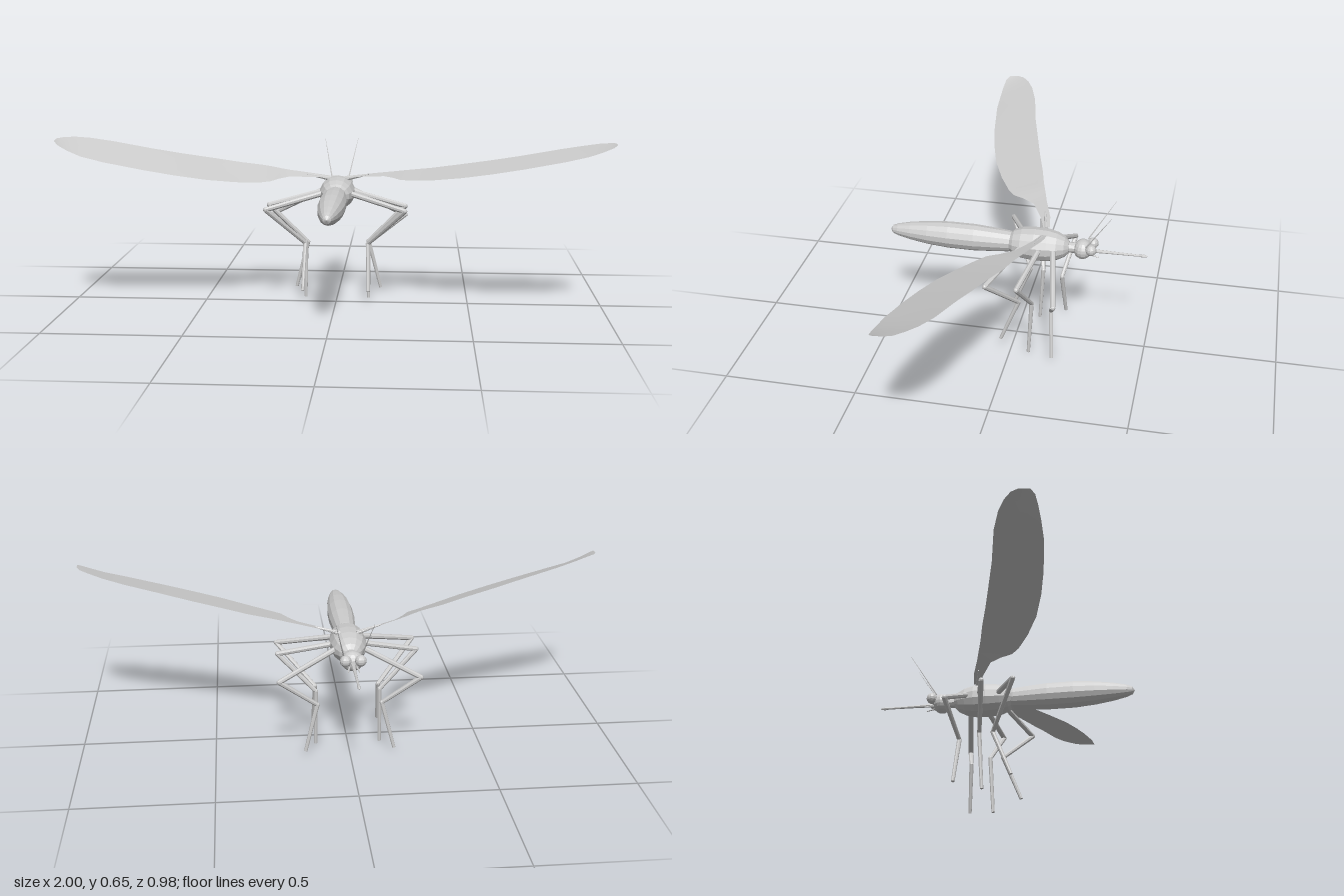
import * as THREE from 'three';

const grey = new THREE.MeshStandardMaterial({ color: 0xcccccc, flatShading: true });
const wingGrey = new THREE.MeshStandardMaterial({ color: 0xcccccc, side: THREE.DoubleSide });
const AXIS_Y = 0.411;

function add(parent, name, geometry, material = grey) {
  const mesh = new THREE.Mesh(geometry, material);
  mesh.name = name;
  parent.add(mesh);
  return mesh;
}

// Turned body part lying along z; profile is [z, radius] from front to back
function turned(parent, name, profile, sides, widen = 1, y = AXIS_Y) {
  const g = new THREE.LatheGeometry(profile.map(([z, r]) => new THREE.Vector2(r, z)), sides);
  g.rotateX(Math.PI / 2).scale(widen, 1, 1);
  add(parent, name, g).position.y = y;
}

// Tapered rod between two points
function rod(parent, name, a, b, ra, rb, sides = 8) {
  const from = new THREE.Vector3(...a), to = new THREE.Vector3(...b);
  const dir = to.clone().sub(from);
  const mesh = add(parent, name, new THREE.CylinderGeometry(rb, ra, dir.length(), sides));
  mesh.position.copy(from).add(to).multiplyScalar(0.5);
  mesh.quaternion.setFromUnitVectors(new THREE.Vector3(0, 1, 0), dir.normalize());
}

// Wing stations from root to tip: x, leading z, trailing z, mean height, half twist
const stations = [
  [0.03, -0.12, -0.095, 0.467, 0.001],
  [0.09, -0.11, -0.075, 0.475, 0.002],
  [0.18, -0.08, -0.03, 0.487, 0.004],
  [0.215, -0.07, 0.015, 0.49, 0.006],
  [0.24, -0.062, 0.06, 0.492, 0.008],
  [0.28, -0.05, 0.09, 0.496, 0.01],
  [0.36, -0.03, 0.135, 0.506, 0.011],
  [0.46, 0.0, 0.18, 0.523, 0.012],
  [0.57, 0.03, 0.212, 0.543, 0.012],
  [0.68, 0.06, 0.235, 0.565, 0.012],
  [0.82, 0.09, 0.255, 0.595, 0.012],
  [0.9, 0.118, 0.257, 0.613, 0.011],
  [0.95, 0.145, 0.255, 0.627, 0.008],
  [0.985, 0.172, 0.25, 0.637, 0.004],
  [1.0, 0.2, 0.237, 0.643, 0.001],
];

function wing(side) {
  const pos = [], index = [], across = 4;
  const twist = side > 0 ? 1 : 2.3;
  stations.forEach(([x, lead, trail, y, t], i) => {
    for (let j = 0; j <= across; j++) {
      const f = j / across;
      pos.push(side * x, y + t * twist * (1 - 2 * f), lead + (trail - lead) * f);
      if (i && j) {
        const d = i * (across + 1) + j, c = d - 1, b = d - across - 1, a = b - 1;
        index.push(...(side > 0 ? [a, b, c, b, d, c] : [a, c, b, b, c, d]));
      }
    }
  });
  const g = new THREE.BufferGeometry();
  g.setAttribute('position', new THREE.Float32BufferAttribute(pos, 3));
  g.setIndex(index);
  g.computeVertexNormals();
  return g;
}

// Leg joints from hip to foot
const legs = {
  frontLeg: [[0.045, 0.418, -0.145], [0.26, 0.308, -0.185], [0.12, 0.2, -0.155], [0.166, 0.018, -0.167]],
  middleLeg: [[0.045, 0.418, -0.095], [0.26, 0.366, -0.05], [0.12, 0.222, -0.081], [0.122, 0.001, -0.07]],
  hindLeg: [[0.045, 0.418, -0.025], [0.26, 0.366, 0.065], [0.12, 0.222, -0.031], [0.125, 0.05, 0.037]],
};

export function createModel() {
  const model = new THREE.Group();
  model.name = 'insect';

  // Body
  turned(model, 'abdomen', [[-0.02, 0], [-0.01, 0.03], [0.03, 0.04], [0.09, 0.045], [0.16, 0.05], [0.26, 0.05],
    [0.34, 0.044], [0.41, 0.034], [0.46, 0.023], [0.48, 0.015], [0.489, 0]], 14);
  turned(model, 'thorax', [[-0.202, 0], [-0.198, 0.022], [-0.183, 0.038], [-0.155, 0.052], [-0.12, 0.06],
    [-0.07, 0.062], [-0.02, 0.057], [0.01, 0.046], [0.027, 0.032], [0.035, 0]], 14, 1.1);
  turned(model, 'neck', [[-0.23, 0.02], [-0.19, 0.02]], 10);

  // Head
  const head = new THREE.Group();
  head.name = 'head';
  model.add(head);
  add(head, 'skull', new THREE.SphereGeometry(0.037, 14, 10).scale(1.12, 1, 0.95)).position.set(0, 0.41, -0.25);
  turned(head, 'proboscis', [[-0.491, 0], [-0.488, 0.004], [-0.475, 0.006], [-0.46, 0.004], [-0.36, 0.0055], [-0.27, 0.008]], 8, 1, 0.406);

  for (const side of [1, -1]) {
    add(head, 'eye', new THREE.SphereGeometry(0.021, 12, 8)).position.set(side * 0.027, 0.423, -0.284);
    rod(head, 'antenna', [side * 0.032, 0.435, -0.265], [side * 0.067, 0.588, -0.361], 0.003, 0.0006, 5);
    rod(head, 'palp', [side * 0.012, 0.398, -0.27], [side * 0.02, 0.392, -0.314], 0.004, 0.002, 6);
    add(model, side > 0 ? 'leftWing' : 'rightWing', wing(side), wingGrey);
    // Stem joining the wing to the thorax
    rod(model, 'wingStem', [side * 0.03, 0.46, -0.105], [side * 0.12, 0.481, -0.085], 0.009, 0.003);

    for (const [name, joints] of Object.entries(legs)) {
      const leg = new THREE.Group();
      leg.name = name;
      model.add(leg);
      const p = joints.map(([x, y, z]) => [side * x, y, z]);
      ['thigh', 'shin', 'foot'].forEach((part, i) => {
        rod(leg, part, p[i], p[i + 1], 0.0105 - i * 0.001, 0.0095 - i * 0.0015);
        if (i) add(leg, 'joint', new THREE.SphereGeometry(0.0105 - i * 0.001, 8, 6)).position.set(...p[i]);
      });
    }
  }
  return model;
}
